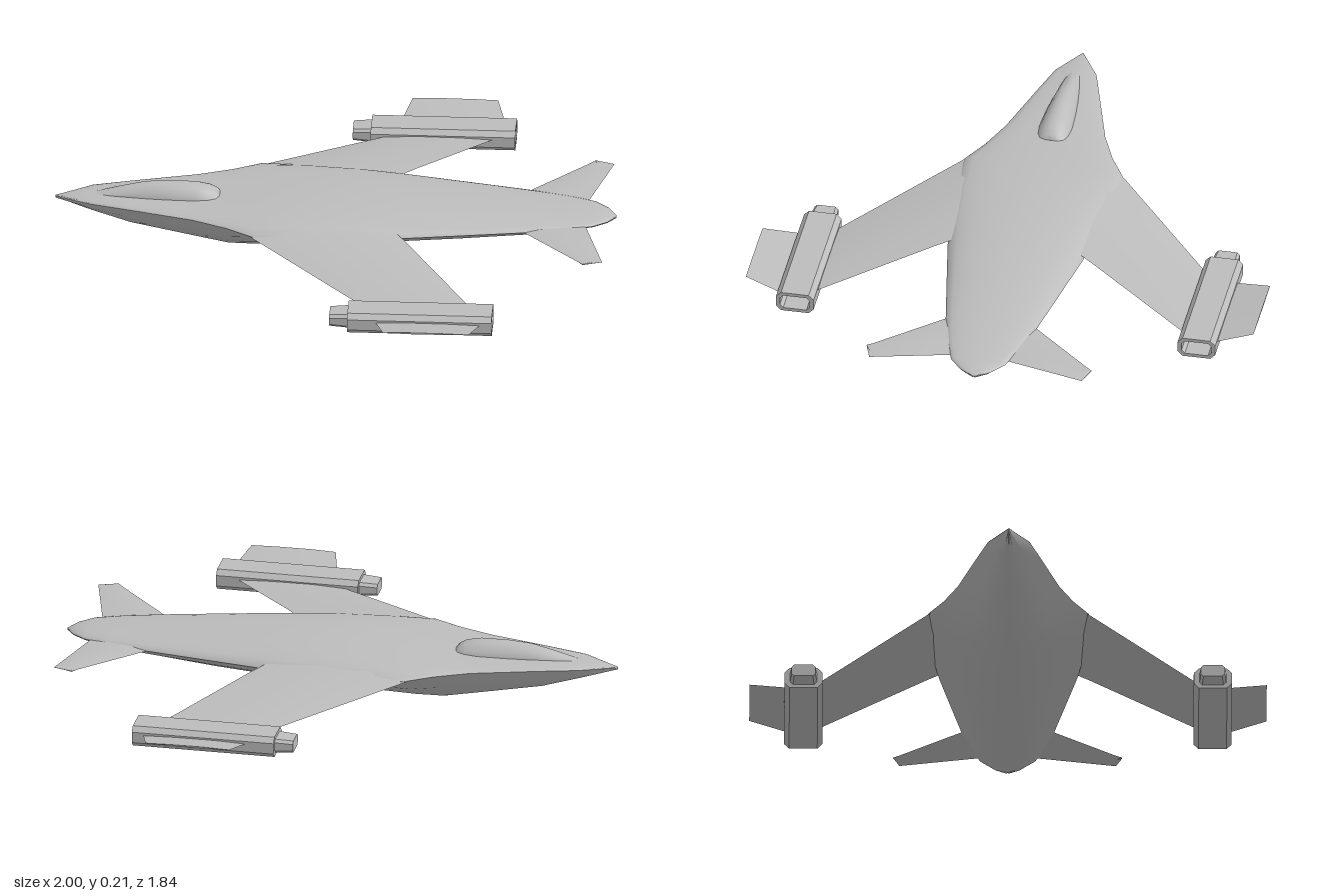
import * as THREE from 'three';
import { toCreasedNormals } from 'three/addons/utils/BufferGeometryUtils.js';

const hull = new THREE.MeshStandardMaterial({ color: 0xbcbcbc });
hull.name = 'hullGrey';

// Skins closed rings of [x, y, z]; side -1 mirrors the part across z = 0.
function loft(name, rings, side = 1, crease = 0.6) {
  const n = rings[0].length, pos = [], index = [];
  for (const ring of rings) {
    const pts = side < 0 ? [...ring].reverse() : ring;
    for (const [x, y, z] of pts) pos.push(x, y, z * side);
  }
  for (let i = 0; i < rings.length - 1; i++) {
    for (let j = 0; j < n; j++) {
      const a = i * n + j, b = i * n + (j + 1) % n;
      index.push(a, b, a + n, b, b + n, a + n);
    }
  }
  // end caps, fanned from the middle
  for (const [start, last] of [[0, false], [(rings.length - 1) * n, true]]) {
    const centre = pos.length / 3, c = [0, 0, 0];
    for (let j = 0; j < n; j++) for (let k = 0; k < 3; k++) c[k] += pos[(start + j) * 3 + k] / n;
    pos.push(...c);
    for (let j = 0; j < n; j++) {
      const a = start + j, b = start + (j + 1) % n;
      index.push(centre, last ? a : b, last ? b : a);
    }
  }
  const geo = new THREE.BufferGeometry();
  geo.setAttribute('position', new THREE.Float32BufferAttribute(pos, 3));
  geo.setIndex(index);
  const mesh = new THREE.Mesh(toCreasedNormals(geo, crease), hull);
  mesh.name = name;
  return mesh;
}

// Completes a half section of [z, y], listed from top centre to bottom centre.
function symmetricRing(x, half) {
  const left = half.slice(1, -1).reverse().map(([z, y]) => [-z, y]);
  return [...half, ...left].map(([z, y]) => [x, y, z]);
}

function createFuselage() {
  // x, half width, edge height, top, bottom, keel half width
  const stations = [
    [-1, 0.003, 0.144, 0.147, 0.14, 0.001],
    [-0.87, 0.075, 0.152, 0.163, 0.1, 0.02],
    [-0.73, 0.115, 0.153, 0.165, 0.06, 0.03],
    [-0.5, 0.18, 0.152, 0.168, 0.023, 0.05],
    [-0.38, 0.23, 0.149, 0.173, 0.004, 0.06],
    [-0.28, 0.287, 0.145, 0.18, 0.002, 0.06],
    [-0.1, 0.285, 0.141, 0.188, 0.01, 0.065],
    [0.08, 0.268, 0.137, 0.19, 0.022, 0.07],
    [0.24, 0.245, 0.133, 0.184, 0.036, 0.075],
    [0.45, 0.207, 0.131, 0.172, 0.055, 0.08],
    [0.68, 0.165, 0.129, 0.157, 0.077, 0.075],
    [0.82, 0.132, 0.128, 0.147, 0.093, 0.065],
    [0.92, 0.098, 0.127, 0.14, 0.106, 0.05],
    [0.97, 0.055, 0.124, 0.133, 0.114, 0.03],
    [1, 0.004, 0.121, 0.123, 0.119, 0.002],
  ];
  return loft('fuselage', stations.map(([x, w, edge, top, bottom, keel]) => {
    const half = [];
    for (let i = 0; i <= 6; i++) {
      const a = i / 6 * Math.PI / 2;
      half.push([w * Math.sin(a), edge + (top - edge) * Math.cos(a)]);
    }
    half.push([(w + keel) / 2, (edge + bottom) / 2 - 0.004], [keel, bottom + 0.002], [0, bottom]);
    return symmetricRing(x, half);
  }), 1, 0.75);
}

function createCanopy() {
  // x, half width, top
  const stations = [
    [-0.85, 0.024, 0.165], [-0.77, 0.036, 0.187], [-0.68, 0.047, 0.207], [-0.6, 0.055, 0.212],
    [-0.5, 0.061, 0.21], [-0.45, 0.059, 0.2], [-0.425, 0.052, 0.187], [-0.41, 0.038, 0.168],
  ];
  const base = 0.155;
  return loft('canopy', stations.map(([x, w, top]) => {
    const h = top - base;
    return symmetricRing(x, [[0, top], [w * 0.3, top - h * 0.04], [w * 0.55, top - h * 0.18],
      [w * 0.82, base + h * 0.5], [w, base + h * 0.15], [w, base], [0, base]]);
  }), 1, 0.7);
}

// Thin lifting surface; each section is [z, leading x, trailing x, y, half thickness].
function blade(name, sections, side) {
  return loft(name, sections.map(([z, x0, x1, y, t]) => {
    const at = (f, h) => [x0 + (x1 - x0) * f, y + h * t, z];
    return [at(0, 0), at(0.3, -1), at(0.7, -0.8), at(1, 0), at(0.7, 0.8), at(0.3, 1)];
  }), side);
}

// Eight-sided ring around the engine axis.
function engineRing(x, halfWidth, halfHeight, chamfer) {
  const w = halfWidth, h = halfHeight, c = chamfer;
  return [[-w + c, h], [w - c, h], [w, h - c], [w, -h + c], [w - c, -h], [-w + c, -h],
    [-w, -h + c], [-w, h - c]].map(([z, y]) => [x, 0.065 + y, 0.728 + z]);
}

function createEngine(side) {
  const engine = new THREE.Group();
  engine.name = side > 0 ? 'leftEngine' : 'rightEngine';
  engine.add(
    // hollow exhaust casing
    loft('engineCasing', [
      engineRing(0.085, 0.068, 0.038, 0.018), engineRing(0.6, 0.068, 0.038, 0.018),
      engineRing(0.6, 0.054, 0.026, 0.012), engineRing(0.35, 0.054, 0.026, 0.012),
    ], side, 0.3),
    loft('engineIntake', [
      engineRing(0.02, 0.043, 0.022, 0.01), engineRing(0.09, 0.048, 0.026, 0.01),
    ], side, 0.3),
    blade('engineFin', [[0.785, 0.185, 0.56, 0.073, 0.004], [0.92, 0.22, 0.525, 0.101, 0.003]], side),
  );
  return engine;
}

export function createModel() {
  const model = new THREE.Group();
  model.name = 'spacecraft';
  model.add(createFuselage(), createCanopy());
  for (const side of [1, -1]) {
    const label = side > 0 ? 'left' : 'right';
    model.add(
      blade(label + 'Wing', [
        [0.2, -0.36, 0.206, 0.153, 0.018],
        [0.29, -0.28, 0.268, 0.141, 0.014],
        [0.67, 0.14, 0.526, 0.073, 0.006],
      ], side),
      blade(label + 'TailFin', [
        [0.1, 0.62, 0.895, 0.128, 0.007],
        [0.165, 0.68, 0.912, 0.129, 0.006],
        [0.385, 0.882, 0.97, 0.132, 0.003],
        [0.407, 0.9, 0.905, 0.132, 0.002],
      ], side),
      createEngine(side),
    );
  }
  return model;
}
